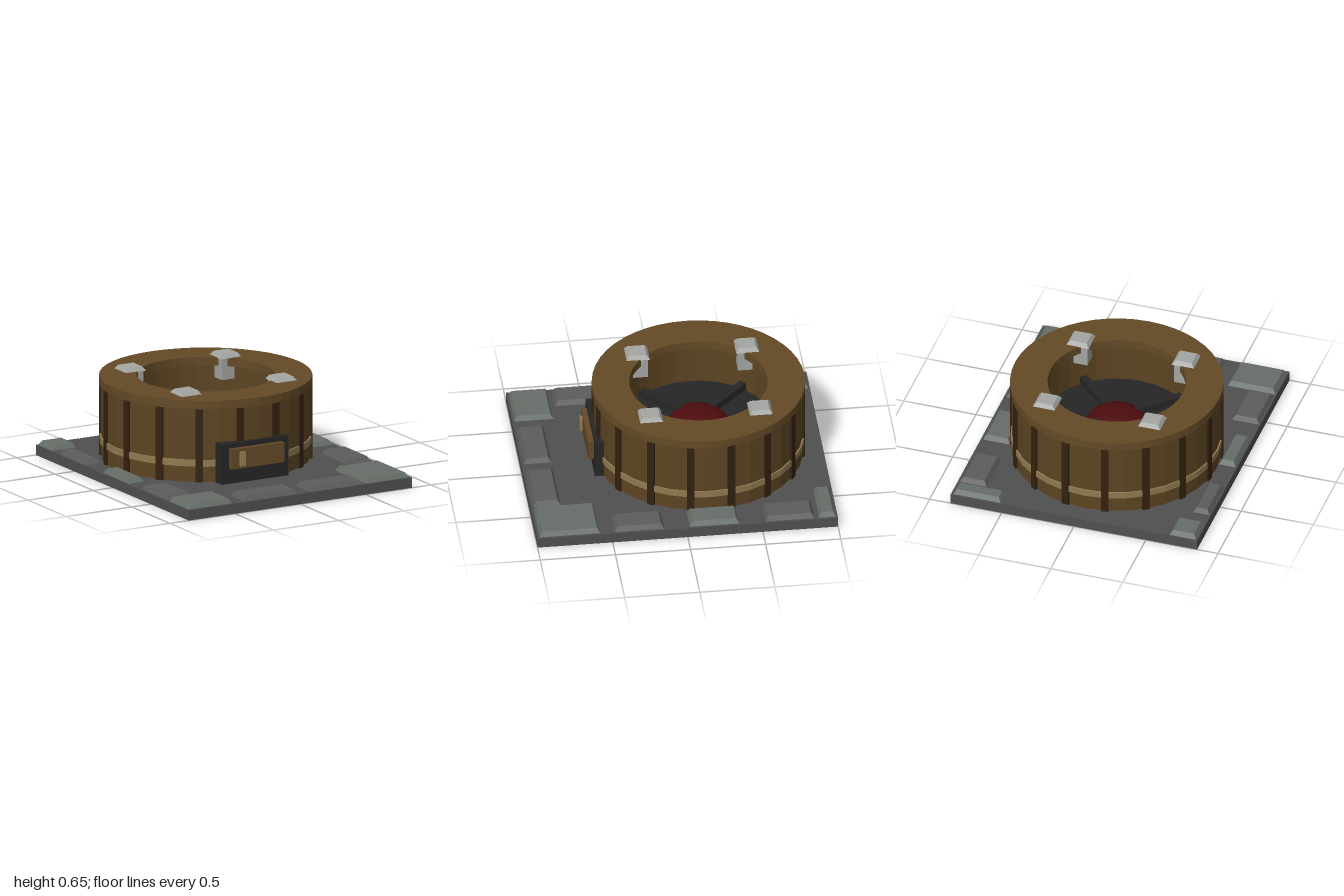
import * as THREE from 'three';

const mat = (color, flat = true) => new THREE.MeshStandardMaterial({ color, flatShading: flat });
const M = {
  stone: mat(0x505050), tile: mat(0x5c5c5c), mossTile: mat(0x666e68),
  wood: mat(0x644a27), wall: mat(0x5c4422), stave: mat(0x33210f), band: mat(0x8f7a50),
  iron: mat(0x262626), glow: mat(0x4d0c0e, false), metal: mat(0xa4a6a3), handle: mat(0x9a8052),
};

function add(parent, name, geometry, material, x = 0, y = 0, z = 0) {
  const mesh = new THREE.Mesh(geometry, material);
  mesh.name = name;
  mesh.position.set(x, y, z);
  parent.add(mesh);
  return mesh;
}

// Box whose top is inset on all sides, standing on its own y = 0
function bevelBlock(w, h, d, inset) {
  const g = new THREE.BoxGeometry(w, h, d).translate(0, h / 2, 0);
  const p = g.attributes.position;
  for (let i = 0; i < p.count; i++) {
    if (p.getY(i) < h / 2) continue;
    p.setX(i, p.getX(i) - Math.sign(p.getX(i)) * inset);
    p.setZ(i, p.getZ(i) - Math.sign(p.getZ(i)) * inset);
  }
  g.computeVertexNormals();
  return g;
}

// Closed ring of rectangular section
function ring(inner, outer, y0, y1, segments = 32) {
  const pts = [[inner, y0], [outer, y0], [outer, y1], [inner, y1], [inner, y0]];
  return new THREE.LatheGeometry(pts.map(([r, y]) => new THREE.Vector2(r, y)), segments);
}

// Box given by its limits
function span(parent, name, material, [x0, x1], [y0, y1], [z0, z1]) {
  return add(parent, name, new THREE.BoxGeometry(x1 - x0, y1 - y0, z1 - z0), material,
    (x0 + x1) / 2, (y0 + y1) / 2, (z0 + z1) / 2);
}

export function createModel() {
  const model = new THREE.Group();
  model.name = 'drumOnStoneBase';

  // Stone slab with raised paving tiles around the edge
  span(model, 'baseSlab', M.stone, [-0.855, 0.855], [0, 0.07], [-1, 1]);
  const tiles = new THREE.Group();
  tiles.name = 'pavingTiles';
  model.add(tiles);
  // x0, x1, z0, z1, mossy
  [
    [-0.845, -0.66, -0.99, -0.805, 1],
    [-0.845, -0.73, -0.70, -0.375, 0],
    [-0.845, -0.73, -0.135, 0.20, 1],
    [-0.845, -0.66, 0.37, 0.695, 0],
    [-0.845, -0.515, 0.725, 0.985, 1],
    [-0.42, -0.015, 0.80, 0.985, 0],
    [0.08, 0.485, 0.80, 0.985, 0],
    [0.51, 0.84, 0.58, 0.985, 1],
    [0.655, 0.84, 0.155, 0.485, 0],
    [0.655, 0.84, -0.345, -0.015, 1],
    [0.655, 0.84, -0.845, -0.52, 0],
    [0.51, 0.84, -0.99, -0.875, 1],
  ].forEach(([x0, x1, z0, z1, mossy]) => {
    add(tiles, 'tile', bevelBlock(x1 - x0, 0.033, z1 - z0, 0.02),
      mossy ? M.mossTile : M.tile, (x0 + x1) / 2, 0.069, (z0 + z1) / 2);
  });

  // Round wooden drum
  const drum = new THREE.Group();
  drum.name = 'drum';
  drum.position.set(-0.035, 0, -0.18);
  model.add(drum);
  add(drum, 'drumWall', ring(0.5, 0.693, 0.07, 0.575), M.wall);
  add(drum, 'topRim', ring(0.457, 0.705, 0.57, 0.627, 48), M.wood);
  add(drum, 'hoop', ring(0.68, 0.703, 0.177, 0.222), M.band);
  add(drum, 'innerFloor', new THREE.CylinderGeometry(0.505, 0.505, 0.215, 32), M.iron, 0, 0.1775, 0);

  // Dark upright battens around the wall
  for (let i = 0; i < 16; i++) {
    const a = (i + 0.5) * Math.PI / 8;
    const batten = add(drum, 'batten', new THREE.BoxGeometry(0.05, 0.5, 0.045), M.stave,
      Math.sin(a) * 0.683, 0.32, Math.cos(a) * 0.683);
    batten.rotation.y = a;
  }

  // Glowing dome on the floor
  const dome = add(drum, 'glowDome',
    new THREE.SphereGeometry(0.205, 24, 10, 0, Math.PI * 2, 0, Math.PI / 2), M.glow, 0, 0.284, 0);
  dome.scale.y = 0.5;

  // Four clamps on the rim, each with an arm reaching the dome
  for (const sx of [-1, 1]) for (const sz of [-1, 1]) {
    const x = sx * 0.365, z = sz * 0.365;
    add(drum, 'clampCap', bevelBlock(0.155, 0.028, 0.155, 0.02), M.metal, x, 0.625, z);
    add(drum, 'clampPost', new THREE.BoxGeometry(0.13, 0.15, 0.13), M.metal, x, 0.555, z);
    const arm = add(drum, 'domeArm', new THREE.BoxGeometry(0.05, 0.05, 0.34), M.iron,
      sx * 0.22, 0.335, sz * 0.22);
    arm.rotation.y = Math.atan2(sx, sz);
  }

  // Drawer in its housing on the front
  const drawer = new THREE.Group();
  drawer.name = 'drawerUnit';
  model.add(drawer);
  span(drawer, 'drawerHousing', M.iron, [-0.33, 0.18], [0.07, 0.343], [0.455, 0.535]);
  span(drawer, 'drawerFront', M.wood, [-0.273, 0.127], [0.175, 0.31], [0.5, 0.573]);
  span(drawer, 'drawerHandle', M.handle, [-0.217, -0.177], [0.193, 0.29], [0.56, 0.588]);

  return model;
}
